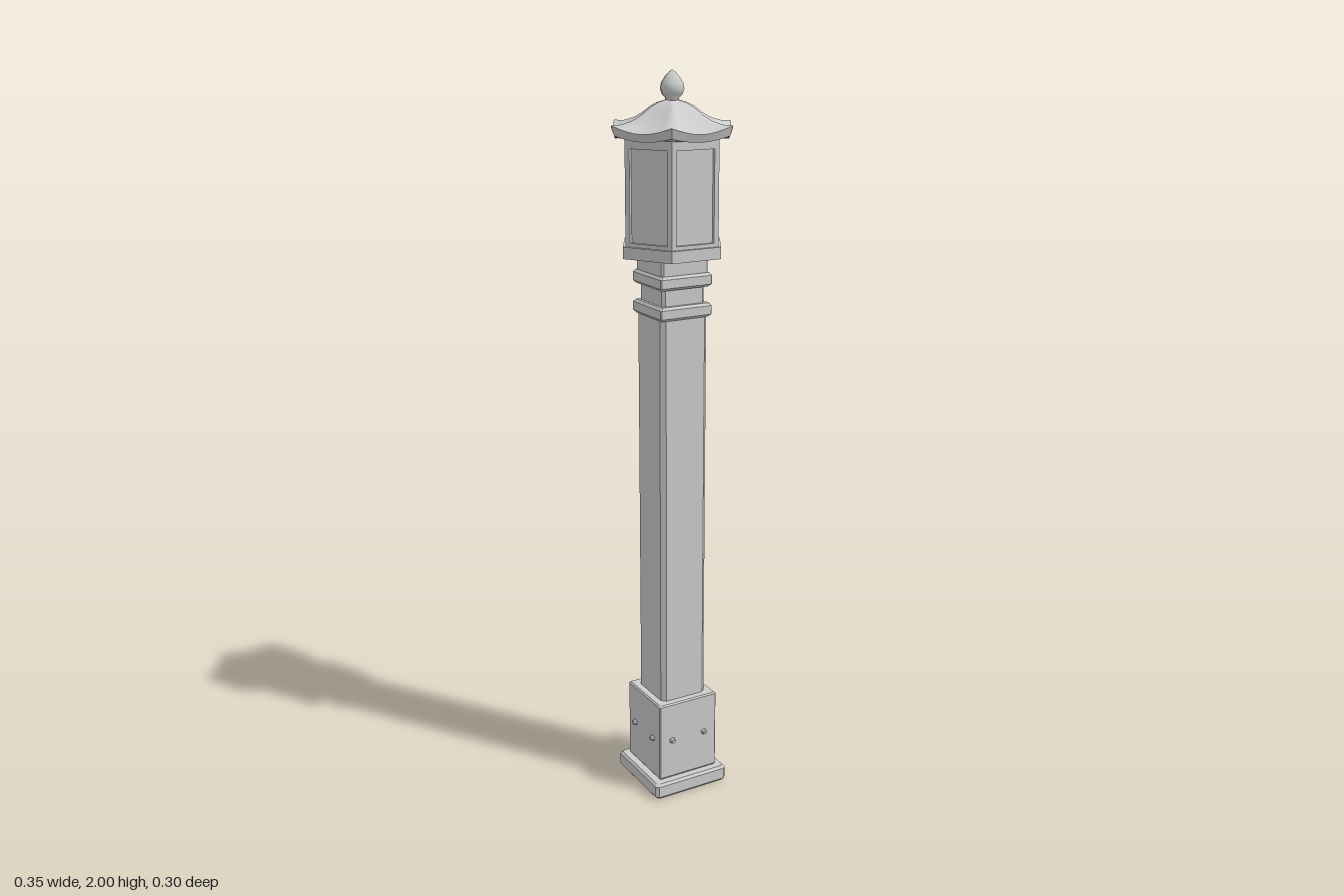
import * as THREE from 'three';

const flat = new THREE.MeshStandardMaterial({ color: 0xcccccc, flatShading: true });
const smooth = new THREE.MeshStandardMaterial({ color: 0xcccccc });

// Skins a stack of equal-length rings (bottom to top) and closes the chosen ends.
function loft(rings, { isSmooth = false, bottom = true, top = true } = {}) {
  const n = rings[0].length, pos = rings.flat(2), index = [];
  for (let i = 0; i < rings.length - 1; i++) {
    for (let j = 0; j < n; j++) {
      const a = i * n + j, b = i * n + (j + 1) % n;
      index.push(a, b, b + n, a, b + n, a + n);
    }
  }
  const cap = (i, up) => {
    const c = pos.length / 3, y = rings[i].reduce((s, p) => s + p[1], 0) / n;
    pos.push(0, y, 0);
    for (let j = 0; j < n; j++) {
      const a = i * n + j, b = i * n + (j + 1) % n;
      index.push(c, up ? a : b, up ? b : a);
    }
  };
  if (bottom) cap(0, false);
  if (top) cap(rings.length - 1, true);
  let g = new THREE.BufferGeometry();
  g.setAttribute('position', new THREE.Float32BufferAttribute(pos, 3));
  g.setIndex(index);
  if (!isSmooth) g = g.toNonIndexed();
  g.computeVertexNormals();
  return g;
}

// Square ring of half-width h with cut corners
function squareRing(h, c, y) {
  const ring = [];
  for (let k = 0; k < 4; k++) {
    const a = k * Math.PI / 2, cos = Math.cos(a), sin = Math.sin(a);
    for (const [u, v] of [[h, h - c], [h - c, h]]) {
      ring.push([u * cos - v * sin, y, -(u * sin + v * cos)]);
    }
  }
  return ring;
}

// Hexagonal ring with corners on the x axis; corners may be lifted
function hexRing(r, y, lift = 0, perSide = 1) {
  const ring = [];
  for (let k = 0; k < 6 * perSide; k++) {
    const a = k / perSide * Math.PI / 3;
    const off = (k % perSide) / perSide * Math.PI / 3 - Math.PI / 6;
    const d = r * Math.cos(Math.PI / 6) / Math.cos(off);
    const t = Math.abs(off) / (Math.PI / 6);
    ring.push([d * Math.cos(a), y + lift * t * t, -d * Math.sin(a)]);
  }
  return ring;
}

export function createModel() {
  const model = new THREE.Group();
  const add = (name, geometry, material = flat, parent = model) => {
    const mesh = new THREE.Mesh(geometry, material);
    mesh.name = name;
    parent.add(mesh);
    return mesh;
  };
  const squareStack = list => loft(list.map(([h, c, y]) => squareRing(h, c, y)));
  const hexStack = list => loft(list.map(([r, y]) => hexRing(r, y)));

  // Foot and plinth
  add('basePlate', squareStack([
    [0.109, 0.008, 0], [0.115, 0.008, 0.008], [0.115, 0.008, 0.04], [0.109, 0.008, 0.047]]));
  add('plinth', squareStack([
    [0.088, 0.003, 0.045], [0.092, 0.003, 0.052], [0.092, 0.003, 0.276], [0.088, 0.003, 0.28]]));

  // Two bolts on each plinth face
  const bolts = new THREE.Group();
  bolts.name = 'plinthBolts';
  model.add(bolts);
  for (let k = 0; k < 4; k++) {
    const face = new THREE.Group();
    face.rotation.y = k * Math.PI / 2;
    bolts.add(face);
    for (const x of [-0.052, 0.052]) {
      const g = new THREE.CylinderGeometry(0.005, 0.01, 0.012, 8);
      g.rotateX(Math.PI / 2);
      add('bolt', g, flat, face).position.set(x, 0.165, 0.096);
    }
  }

  // Post with chamfered edges and two collars at its head
  add('post', squareStack([[0.07, 0.012, 0.27], [0.07, 0.012, 1.39]]));
  add('postNeck', squareStack([[0.063, 0.008, 1.38], [0.063, 0.008, 1.5]]));
  for (const y of [1.375, 1.455]) {
    add('collar', squareStack([
      [0.07, 0.003, y], [0.077, 0.003, y + 0.007], [0.077, 0.003, y + 0.03], [0.071, 0.003, y + 0.037]]));
  }
  add('postHead', squareStack([[0.07, 0.006, 1.485], [0.07, 0.006, 1.54]]));

  // Lantern tray and glazed core
  add('lanternTray', hexStack([[0.145, 1.535], [0.145, 1.566]]));
  add('lanternGlass', hexStack([[0.127, 1.56], [0.127, 1.835]]));

  // Six window frames around the core
  const R = 0.137, half = R / 2, y0 = 1.564, y1 = 1.836;
  const rect = (P, w, lo, hi) => {
    const p = new P();
    p.moveTo(-w, lo);
    p.lineTo(w, lo);
    p.lineTo(w, hi);
    p.lineTo(-w, hi);
    p.closePath();
    return p;
  };
  const frameShape = rect(THREE.Shape, half, y0, y1);
  frameShape.holes.push(rect(THREE.Path, half - 0.0135, y0 + 0.012, y1 - 0.024));
  const frameGeo = new THREE.ExtrudeGeometry(frameShape, { depth: 0.014, bevelEnabled: false });
  frameGeo.translate(0, 0, R * Math.cos(Math.PI / 6) - 0.014);
  for (let k = 0; k < 6; k++) add('windowFrame', frameGeo, flat, model).rotation.y = k * Math.PI / 3;

  // Swept roof with raised corners: smooth top, crisp eaves
  const seg = 8;
  const top = [[0.175, 1.852, 0.018], [0.145, 1.86, 0.011], [0.115, 1.872, 0.007], [0.088, 1.889, 0.004],
    [0.064, 1.908, 0.002], [0.042, 1.92, 0], [0.02, 1.926, 0]];
  add('roof', loft(top.map(([r, y, l]) => hexRing(r, y, l, seg)), { isSmooth: true, bottom: false }), smooth);
  add('eaves', loft([
    hexRing(0.125, 1.833, 0, seg), hexRing(0.166, 1.832, 0.012, seg), hexRing(0.175, 1.852, 0.018, seg),
  ], { top: false }));

  // Pointed finial
  const profile = [[0.001, 1.915], [0.018, 1.918], [0.018, 1.932], [0.027, 1.94], [0.032, 1.954],
    [0.029, 1.969], [0.018, 1.985], [0.007, 1.996], [0, 2]];
  add('finial', new THREE.LatheGeometry(profile.map(p => new THREE.Vector2(...p)), 8), smooth);

  return model;
}
